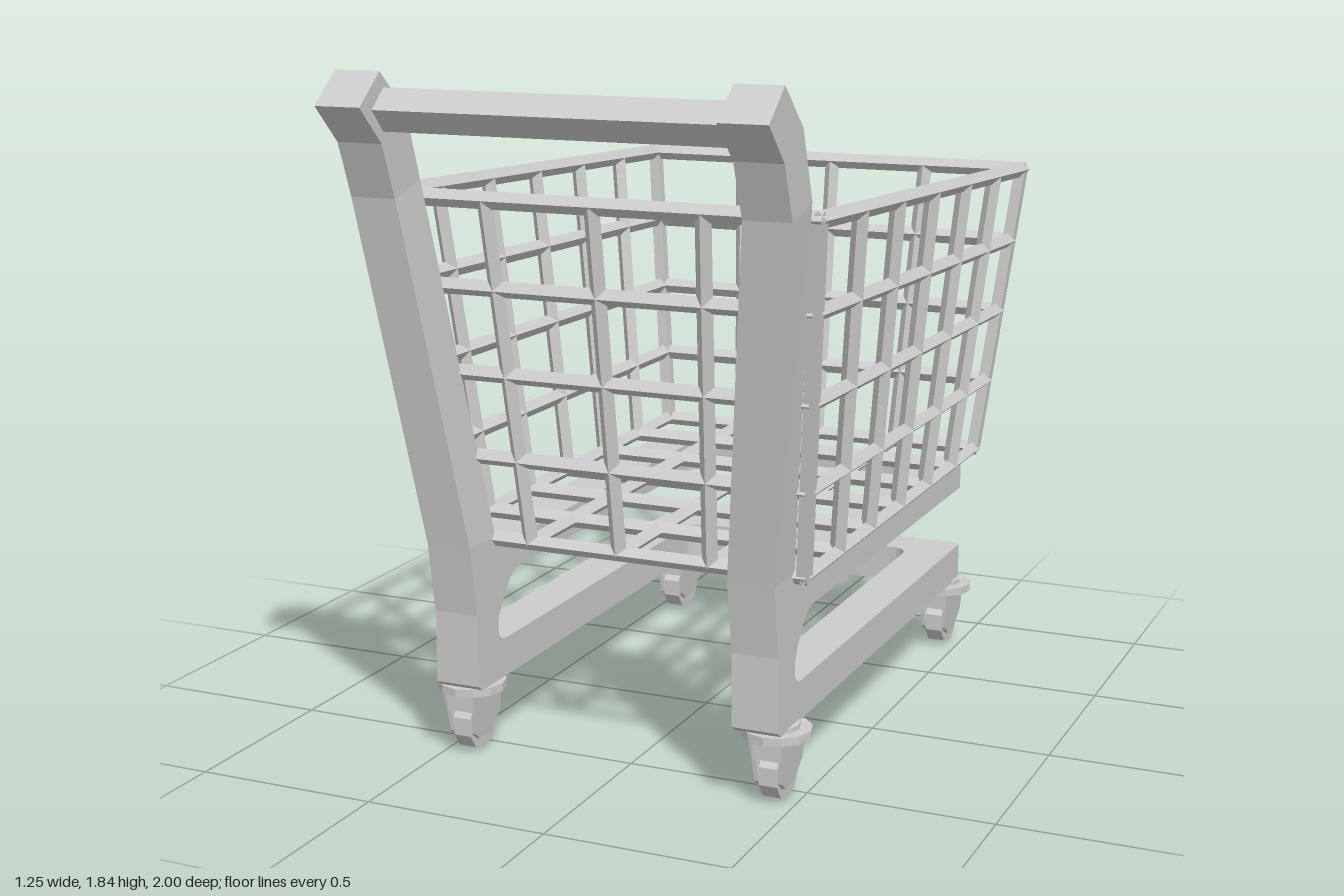
import * as THREE from 'three';
import { mergeGeometries } from 'three/addons/utils/BufferGeometryUtils.js';

const V = (x, y, z) => new THREE.Vector3(x, y, z);
const mat = new THREE.MeshStandardMaterial({ color: 0xcccccc, flatShading: true });

function add(parent, name, geometry) {
  const mesh = new THREE.Mesh(geometry, mat);
  mesh.name = name;
  parent.add(mesh);
  return mesh;
}

// Extrudes a (z, y) outline across x, centred on x
function extrudeAcross(shape, width, x) {
  return new THREE.ExtrudeGeometry(shape, { depth: width, bevelEnabled: false, curveSegments: 6 })
    .rotateY(-Math.PI / 2).translate(x + width / 2, 0, 0);
}

// Diamond-section wire from a to b, one ridge pointing along the normal
function wire(a, b, normal, r = 0.022, extend = 0) {
  const dir = b.clone().sub(a);
  const length = dir.length();
  dir.normalize();
  const side = dir.clone().cross(normal).normalize();
  const out = side.clone().cross(dir);
  const m = new THREE.Matrix4().makeBasis(side, dir, out);
  m.setPosition(a.clone().add(b).multiplyScalar(0.5));
  return new THREE.CylinderGeometry(r, r, length + 2 * extend, 4).applyMatrix4(m);
}

// Inner wires of a four-cornered panel: a-b is the first edge, d-c the opposite one
function panel([a, b, c, d], nu, nv) {
  const normal = b.clone().sub(a).cross(d.clone().sub(a)).normalize();
  const parts = [];
  const row = (p, q, r, s, n) => {
    for (let i = 1; i < n; i++) {
      parts.push(wire(p.clone().lerp(q, i / n), r.clone().lerp(s, i / n), normal));
    }
  };
  row(a, b, d, c, nu);
  row(a, d, b, c, nv);
  return mergeGeometries(parts);
}

function makeBasket() {
  const basket = new THREE.Group();
  basket.name = 'basket';
  const top = [V(-0.592, 1.508, 0.7), V(0.592, 1.508, 0.7), V(0.603, 1.445, -0.976), V(-0.603, 1.445, -0.976)];
  const low = [V(-0.51, 0.594, 0.563), V(0.51, 0.594, 0.563), V(0.51, 0.602, -0.865), V(-0.51, 0.602, -0.865)];
  const names = ['basketHandleEnd', 'basketLeftWall', 'basketFarEnd', 'basketRightWall'];
  const edges = [];
  names.forEach((name, i) => {
    const j = (i + 1) % 4;
    add(basket, name, panel([low[i], low[j], top[j], top[i]], i % 2 ? 6 : 4, 4));
    const middle = top[i].clone().add(top[j]).setY(0).normalize();
    edges.push(
      wire(top[i], top[j], middle, 0.023, 0.012),
      wire(low[i], low[j], middle, 0.021, 0.01),
      wire(low[i], top[i], V(Math.sign(top[i].x), 0, Math.sign(top[i].z)), 0.023, 0.005),
    );
  });
  add(basket, 'basketFloor', panel(low, 4, 6));
  add(basket, 'basketRimAndCorners', mergeGeometries(edges));
  return basket;
}

// Lower side frame: two rails joined to the foot of the post by a rounded opening
function sideFrame(s) {
  const p = new THREE.Shape();
  p.moveTo(0.65, 0.2);
  p.lineTo(-0.65, 0.2);
  p.lineTo(-0.65, 0.305);
  p.lineTo(0.51, 0.305);
  p.quadraticCurveTo(0.558, 0.305, 0.558, 0.345);
  p.quadraticCurveTo(0.558, 0.385, 0.51, 0.44);
  p.quadraticCurveTo(0.475, 0.485, 0.425, 0.485);
  p.lineTo(-0.65, 0.485);
  p.lineTo(-0.65, 0.57);
  p.lineTo(0.51, 0.57);
  p.quadraticCurveTo(0.555, 0.565, 0.565, 0.6);
  p.lineTo(0.7, 0.6);
  p.lineTo(0.67, 0.41);
  p.lineTo(0.67, 0.215);
  return extrudeAcross(p, 0.125, s * 0.4225);
}

// Post leaning outwards and bending back into the grip
function post(s) {
  // per level: back z, y, front z, y, outward shift
  const levels = [
    [0.7, 0.6, 0.565, 0.6, 0],
    [0.852, 1.52, 0.73, 1.555, 0.1],
    [0.905, 1.66, 0.79, 1.73, 0.1],
    [1.0, 1.755, 0.905, 1.835, 0.1],
  ];
  const geo = new THREE.BoxGeometry(0.125, 1, 1, 1, 3, 1);
  const pos = geo.attributes.position;
  for (let i = 0; i < pos.count; i++) {
    const l = levels[Math.round((pos.getY(i) + 0.5) * 3)];
    const k = pos.getZ(i) > 0 ? 0 : 2;
    pos.setXYZ(i, pos.getX(i) + s * (0.4225 + l[4]), l[k + 1], l[k]);
  }
  return geo;
}

// Cross rail at the far end, with filleted inner corners
function crossRail(top, height) {
  const p = new THREE.Shape();
  p.moveTo(-0.47, -0.835);
  p.lineTo(0.47, -0.835);
  p.lineTo(0.485, -0.82);
  p.lineTo(0.485, -0.65);
  p.lineTo(0.36, -0.65);
  p.quadraticCurveTo(0.36, -0.712, 0.3, -0.712);
  p.lineTo(-0.3, -0.712);
  p.quadraticCurveTo(-0.36, -0.712, -0.36, -0.65);
  p.lineTo(-0.485, -0.65);
  p.lineTo(-0.485, -0.82);
  return new THREE.ExtrudeGeometry(p, { depth: height, bevelEnabled: false, curveSegments: 5 })
    .rotateX(Math.PI / 2).translate(0, top, 0);
}

function makeCaster(x, z) {
  const caster = new THREE.Group();
  caster.name = 'caster';
  caster.position.set(x, 0, z);
  add(caster, 'swivelPlate', new THREE.CylinderGeometry(0.092, 0.092, 0.022, 12).translate(0, 0.182, 0));
  add(caster, 'swivelStem', new THREE.CylinderGeometry(0.06, 0.06, 0.02, 12).translate(0, 0.195, 0));

  // Fork cheeks taper towards the axle
  const outline = [[0.07, 0.175], [0.055, 0.06], [0.03, 0.038], [-0.03, 0.04], [-0.075, 0.09], [-0.07, 0.175]];
  const cheek = new THREE.Shape(outline.map(([a, b]) => new THREE.Vector2(a, b)));
  for (const s of [-1, 1]) {
    const geo = extrudeAcross(cheek, 0.012, s * 0.03);
    const pos = geo.attributes.position;
    for (let i = 0; i < pos.count; i++) {
      pos.setX(i, pos.getX(i) + s * 0.1 * (pos.getY(i) - 0.038));
    }
    add(caster, 'forkCheek', geo);
  }
  add(caster, 'forkCrown', new THREE.BoxGeometry(0.076, 0.05, 0.138).translate(0, 0.148, 0));
  add(caster, 'wheel', new THREE.CylinderGeometry(0.078, 0.078, 0.05, 10)
    .rotateZ(Math.PI / 2).rotateX(Math.PI / 10).translate(0, 0.076, -0.014));
  return caster;
}

export function createModel() {
  const cart = new THREE.Group();
  cart.name = 'shoppingCart';
  cart.add(makeBasket());
  for (const s of [-1, 1]) {
    const side = s > 0 ? 'left' : 'right';
    add(cart, side + 'LowerFrame', sideFrame(s));
    add(cart, side + 'Post', post(s));
    for (const z of [0.563, -0.787]) cart.add(makeCaster(s * 0.44, z));
  }
  add(cart, 'upperCrossRail', crossRail(0.57, 0.085));
  add(cart, 'lowerCrossRail', crossRail(0.305, 0.105));

  // Push handle: square bar set on its corner
  add(cart, 'pushHandle', new THREE.BoxGeometry(0.94, 0.075, 0.075)
    .rotateX(Math.PI / 4 - 0.06).translate(0, 1.742, 0.893));
  return cart;
}
